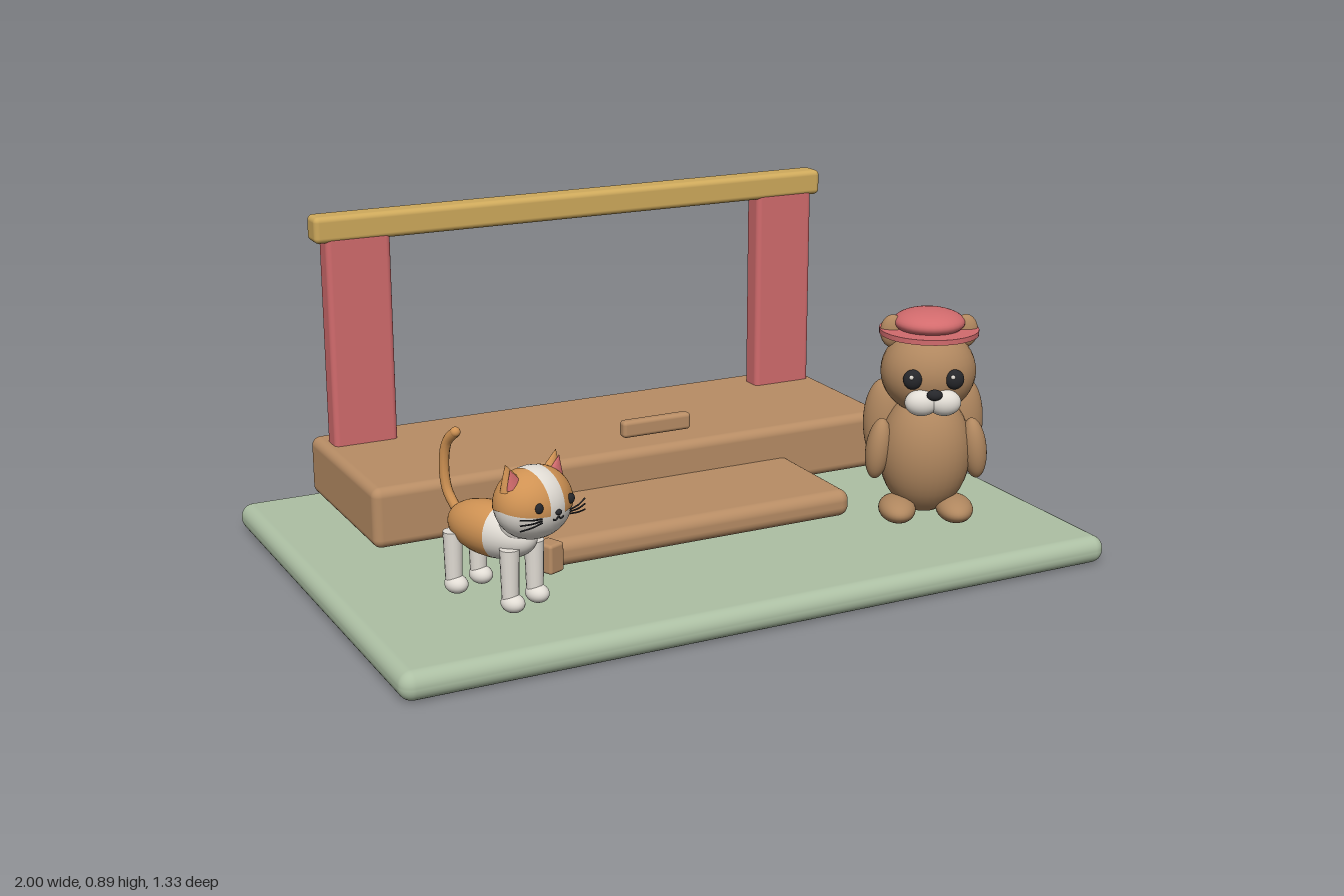
import * as THREE from 'three';
import { RoundedBoxGeometry } from 'three/addons/geometries/RoundedBoxGeometry.js';

const mat = (name, color) => {
  const m = new THREE.MeshStandardMaterial({ color });
  m.name = name;
  return m;
};

export function createModel() {
  const sage = mat('sage', 0xadc0a4);
  const wood = mat('wood', 0xb88d65);
  const fur = mat('brown fur', 0xb0875f);
  const red = mat('coral red', 0xd26b6d);
  const gold = mat('gold', 0xcfaa5c);
  const orange = mat('ginger', 0xcf9253);
  const white = mat('warm white', 0xe2ddd5);
  const black = mat('black', 0x26272b);

  const add = (parent, name, geo, material, x = 0, y = 0, z = 0) => {
    const m = new THREE.Mesh(geo, material);
    m.name = name;
    m.position.set(x, y, z);
    parent.add(m);
    return m;
  };
  // rounded box given by its limits on each axis
  const box = (parent, name, material, [x0, x1], [y0, y1], [z0, z1], r) =>
    add(parent, name, new RoundedBoxGeometry(x1 - x0, y1 - y0, z1 - z0, 4, r), material,
      (x0 + x1) / 2, (y0 + y1) / 2, (z0 + z1) / 2);
  // ellipsoid from centre and half sizes
  const ball = (parent, name, material, p, s) => {
    const m = add(parent, name, new THREE.SphereGeometry(1, 32, 20), material, ...p);
    m.scale.set(...s);
    return m;
  };
  const tube = (parent, name, material, pts, r) =>
    add(parent, name, new THREE.TubeGeometry(
      new THREE.CatmullRomCurve3(pts.map(p => new THREE.Vector3(...p))), 24, r, 10), material);
  const group = (parent, name, x, z, yaw) => {
    const g = new THREE.Group();
    g.name = name;
    g.position.set(x, 0, z);
    g.rotation.y = yaw;
    parent.add(g);
    return g;
  };

  const model = new THREE.Group();
  model.name = 'stageScene';

  // Stage
  box(model, 'ground', sage, [-1, 1], [0, 0.075], [-0.665, 0.665], 0.035);
  box(model, 'platform', wood, [-0.79, 0.787], [0.08, 0.247], [-0.645, -0.108], 0.025);
  box(model, 'step', wood, [-0.47, 0.465], [0.08, 0.155], [-0.15, 0.227], 0.03);
  for (const s of [-1, 1])
    box(model, 'pillar', red, [s * 0.667 - 0.092, s * 0.667 + 0.092], [0.23, 0.84], [-0.578, -0.507], 0.015);
  box(model, 'beam', gold, [-0.79, 0.787], [0.822, 0.895], [-0.58, -0.505], 0.015);
  box(model, 'floatingPlank', wood, [-0.105, 0.1], [0.313, 0.36], [-0.058, -0.025], 0.011);

  // Bear
  const bear = group(model, 'bear', 0.64, 0.312, -0.45);
  ball(bear, 'body', fur, [0, 0.27, 0], [0.125, 0.17, 0.115]);
  ball(bear, 'head', fur, [0, 0.5, 0.01], [0.128, 0.118, 0.115]);
  for (const s of [-1, 1]) {
    ball(bear, 'ear', fur, [s * 0.098, 0.607, 0], [0.033, 0.045, 0.022]);
    ball(bear, 'arm', fur, [s * 0.13, 0.285, 0.025], [0.034, 0.085, 0.04]).rotation.z = s * 0.12;
    ball(bear, 'foot', fur, [s * 0.078, 0.124, 0.055], [0.05, 0.035, 0.078]);
    ball(bear, 'eye', black, [s * 0.055, 0.503, 0.112], [0.026, 0.027, 0.018]);
    ball(bear, 'eyeGlint', white, [s * 0.055 - 0.006, 0.513, 0.128], [0.006, 0.006, 0.004]);
    ball(bear, 'muzzle', white, [s * 0.03, 0.44, 0.113], [0.045, 0.036, 0.033]);
  }
  ball(bear, 'nose', black, [0, 0.468, 0.14], [0.021, 0.015, 0.014]);
  // Fan of fluffy lobes behind the body
  for (let i = 0; i < 6; i++) {
    const a = (i - 2.5) * 0.47;
    const lobe = ball(bear, 'tailLobe', fur,
      [Math.sin(a) * 0.12, 0.34, -Math.cos(a) * 0.112], [0.042, 0.122, 0.055]);
    lobe.rotation.y = -a;
  }
  // Hat
  add(bear, 'hatBrim', new THREE.CylinderGeometry(0.133, 0.133, 0.014, 40), red, 0, 0.608, 0);
  ball(bear, 'hatCrown', red, [0, 0.632, -0.003], [0.096, 0.036, 0.096]);

  // Cat
  const cat = group(model, 'cat', -0.635, 0.325, 0.4);
  // Body pole runs along z: ginger rump, white chest
  for (const [name, m, t0, len] of [['chest', white, 0, 1.35], ['rump', orange, 1.35, Math.PI - 1.35]]) {
    const g = new THREE.SphereGeometry(1, 32, 18, 0, Math.PI * 2, t0, len).rotateX(Math.PI / 2);
    add(cat, name, g, m, 0, 0.262, 0).scale.set(0.068, 0.07, 0.14);
  }
  ball(cat, 'neck', white, [0, 0.3, 0.09], [0.05, 0.06, 0.05]);
  for (const s of [-1, 1]) for (const z of [-0.095, 0.1]) {
    add(cat, 'leg', new THREE.CylinderGeometry(0.025, 0.021, 0.14, 16), white, s * 0.043, 0.175, z);
    ball(cat, 'paw', white, [s * 0.043, 0.107, z + 0.008], [0.027, 0.024, 0.033]);
  }
  tube(cat, 'tail', orange,
    [[0, 0.28, -0.12], [0, 0.33, -0.155], [0, 0.4, -0.163], [0, 0.455, -0.15], [0, 0.485, -0.12]], 0.013);
  ball(cat, 'tailTip', orange, [0, 0.485, -0.12], [0.013, 0.013, 0.013]);

  const head = new THREE.Group();
  head.name = 'head';
  head.position.set(0, 0.363, 0.14);
  head.rotation.y = -0.05;
  cat.add(head);
  ball(head, 'face', white, [0, 0, 0], [0.103, 0.09, 0.088]);
  for (const s of [-1, 1]) {
    // Ginger side patch leaving a white stripe down the middle
    const patch = new THREE.SphereGeometry(1.012, 28, 14, Math.PI / 2 - 0.12, Math.PI + 0.24,
      s < 0 ? 0 : Math.PI - 1.35, 1.35).rotateZ(Math.PI / 2);
    // sphere pole was turned onto the x axis
    add(head, 'facePatch', patch, orange).scale.set(0.103, 0.09, 0.088);
    const ear = add(head, 'ear', new THREE.ConeGeometry(0.034, 0.062, 20), orange, s * 0.074, 0.083, -0.005);
    ear.rotation.z = -s * 0.3;
    ear.scale.z = 0.6;
    const inner = add(head, 'innerEar', new THREE.ConeGeometry(0.024, 0.046, 20), red, s * 0.074, 0.08, 0.009);
    inner.rotation.z = -s * 0.3;
    inner.scale.z = 0.5;
    ball(head, 'eye', black, [s * 0.052, 0.014, 0.077], [0.011, 0.013, 0.008]);
    // Whiskers and mouth
    for (let i = -1; i <= 1; i++)
      tube(head, 'whisker', black,
        [[s * 0.045, -0.018 + i * 0.005, 0.079], [s * 0.075, -0.018 + i * 0.009, 0.078], [s * 0.108, -0.017 + i * 0.014, 0.068]], 0.002);
    tube(head, 'mouth', black,
      [[0, -0.014, 0.089], [s * 0.008, -0.023, 0.087], [s * 0.018, -0.02, 0.086]], 0.002);
  }
  ball(head, 'nose', black, [0, -0.005, 0.089], [0.009, 0.007, 0.006]);

  // Satchel at the cat's left side
  box(cat, 'satchel', wood, [0.075, 0.125], [0.145, 0.222], [0.07, 0.125], 0.008);
  box(cat, 'satchelPocket', wood, [0.121, 0.132], [0.152, 0.19], [0.078, 0.117], 0.004);

  return model;
}
